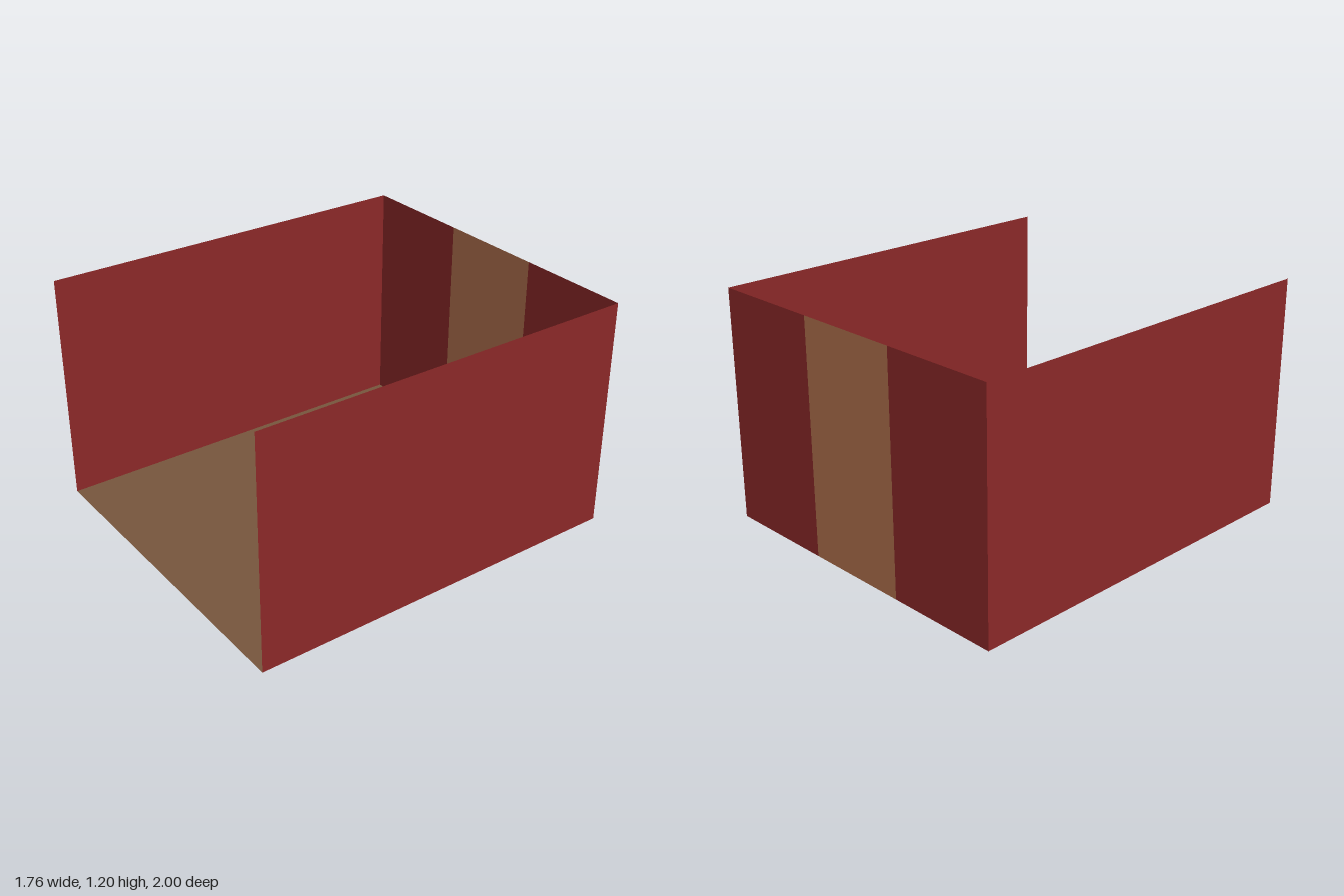
import * as THREE from 'three';

const W = 1.76, H = 1.195, D = 2, STRIPE = 0.57;

export function createModel() {
  const group = new THREE.Group();
  group.name = 'openBox';

  const material = (name, color) => {
    const m = new THREE.MeshStandardMaterial({ color, side: THREE.DoubleSide });
    m.name = name;
    return m;
  };
  const red = material('dark red', 0x8b2828);
  const tan = material('tan', 0xb0704d);
  const brown = material('brown', 0x77563d);

  // Thin sheet, placed and turned
  const panel = (name, w, h, mat, [x, y, z], rx = 0, ry = 0) => {
    const mesh = new THREE.Mesh(new THREE.PlaneGeometry(w, h), mat);
    mesh.name = name;
    mesh.position.set(x, y, z);
    mesh.rotation.set(rx, ry, 0);
    group.add(mesh);
  };

  // Floor
  panel('floor', W, D, brown, [0, 0, 0], -Math.PI / 2);

  // Side walls and the red thirds of the back wall
  const sideWidth = (W - STRIPE) / 2;
  for (const [side, s] of [['left', 1], ['right', -1]]) {
    panel(side + 'Wall', D, H, red, [s * W / 2, H / 2, 0], 0, s * Math.PI / 2);
    panel(side + 'BackPanel', sideWidth, H, red, [s * (STRIPE + sideWidth) / 2, H / 2, -D / 2], 0, Math.PI);
  }

  // Tan centre of the back wall; the front stays open
  panel('backStripe', STRIPE, H, tan, [0, H / 2, -D / 2], 0, Math.PI);

  return group;
}
